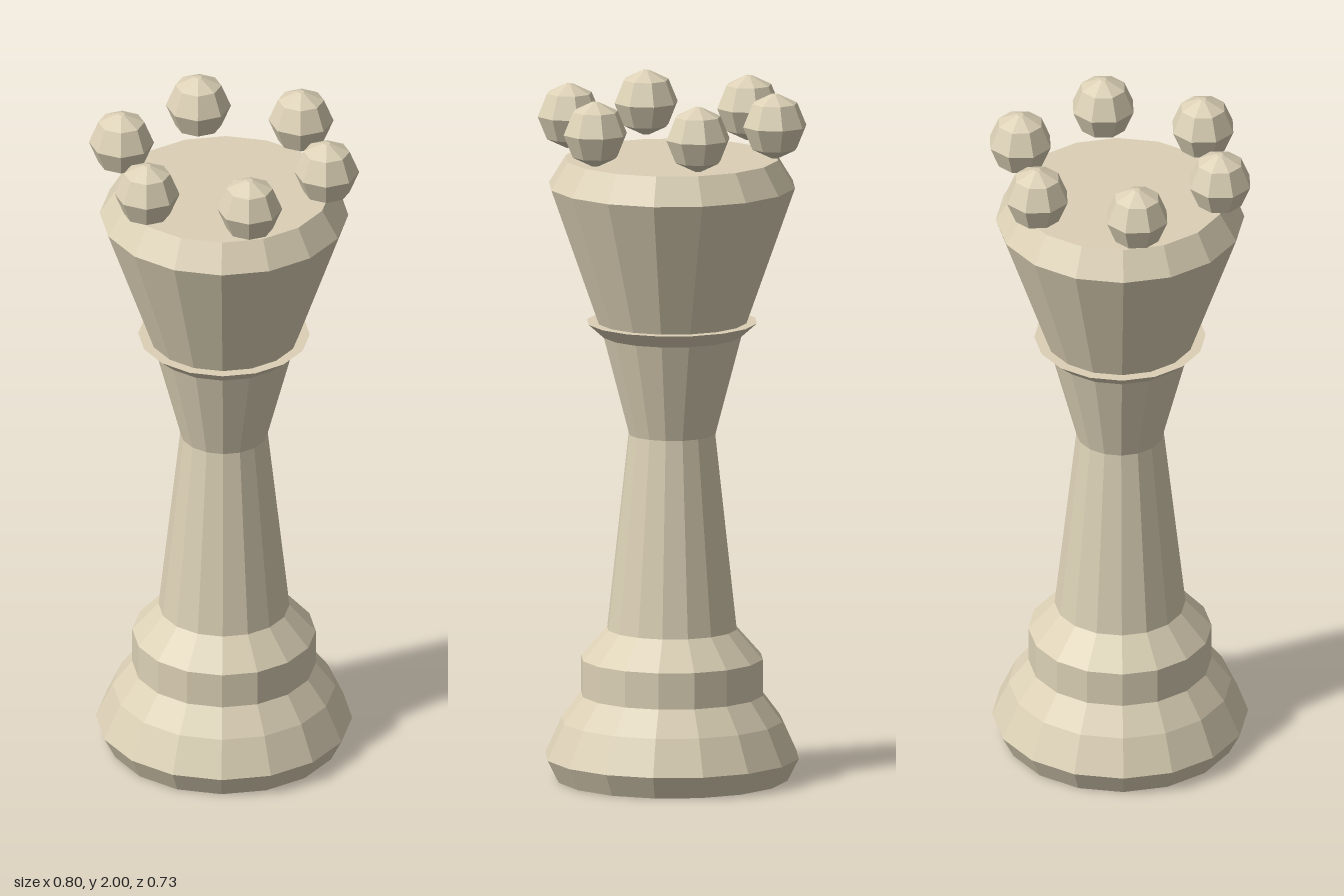
import * as THREE from 'three';

const SIDES = 16;

export function createModel() {
  const model = new THREE.Group();
  model.name = 'chessQueen';
  const ivory = new THREE.MeshStandardMaterial({ color: 0xdcd1b6, flatShading: true });
  ivory.name = 'ivory';

  // Faceted turned part from [radius, height] pairs, bottom to top
  const turned = (name, profile, sides = SIDES) => {
    const points = profile.map(([r, y]) => new THREE.Vector2(r, y));
    const mesh = new THREE.Mesh(new THREE.LatheGeometry(points, sides), ivory);
    mesh.name = name;
    return mesh;
  };

  // Stepped foot, with a closed underside
  model.add(turned('base', [
    [0, 0], [0.333, 0], [0.366, 0.065], [0.318, 0.17], [0.262, 0.245],
    [0.262, 0.35], [0.187, 0.435],
  ]));

  // Waisted stem
  model.add(turned('stem', [[0.187, 0.435], [0.125, 1.0], [0.2, 1.285]]));

  // Thin flared collar
  model.add(turned('collar', [[0.2, 1.285], [0.245, 1.325], [0.215, 1.325]]));

  // Flared crown with bevelled rim and flat top
  model.add(turned('crown', [
    [0.215, 1.325], [0.355, 1.72], [0.306, 1.8], [0, 1.8],
  ]));

  // Ring of six faceted beads hovering above the rim
  const beads = new THREE.Group();
  beads.name = 'crownBeads';
  const R = 0.093;
  const beadProfile = [
    [0, -R], [0.01, -R], [R * Math.SQRT1_2, -R * Math.SQRT1_2], [R, 0],
    [R * Math.SQRT1_2, R * Math.SQRT1_2], [0.01, R], [0, R],
  ];
  for (let i = 0; i < 6; i++) {
    const a = (i * Math.PI) / 3;
    const bead = turned('bead', beadProfile, 8);
    bead.position.set(0.305 * Math.cos(a), 2 - R, 0.305 * Math.sin(a));
    beads.add(bead);
  }
  model.add(beads);
  return model;
}
